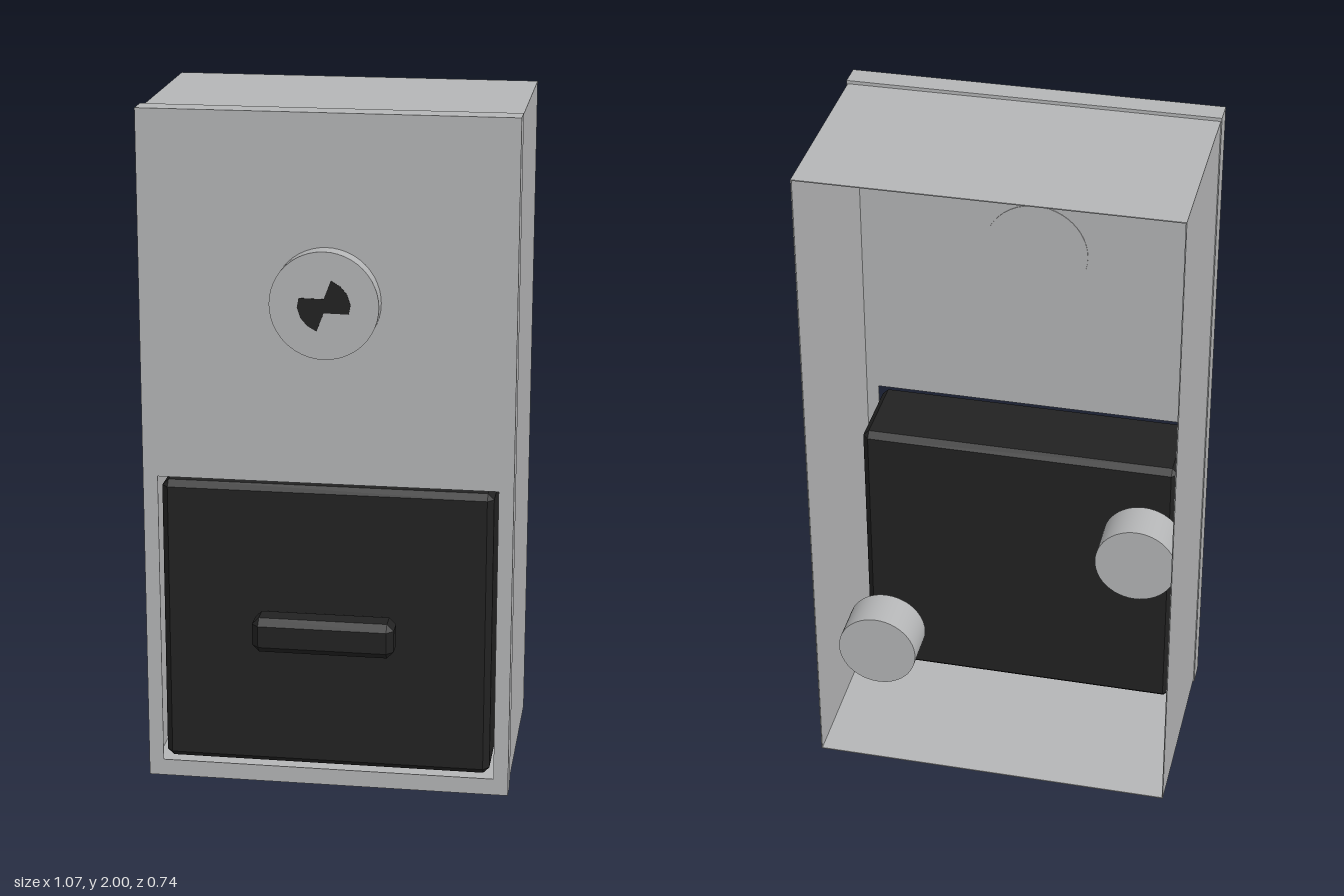
import * as THREE from 'three';
import { ConvexGeometry } from 'three/addons/geometries/ConvexGeometry.js';

const metal = new THREE.MeshStandardMaterial({ color: 0xb5b6b7 });
metal.name = 'grey metal';
metal.side = THREE.DoubleSide;
const black = new THREE.MeshStandardMaterial({ color: 0x222222 });
black.name = 'black plastic';

// Rectangular frame: outer half width and heights, with a rectangular hole, between two depths
function frame(outer, inner, z0, z1) {
  const corners = ([w, y0, y1]) => [[-w, y0], [w, y0], [w, y1], [-w, y1]].map(p => new THREE.Vector2(...p));
  const shape = new THREE.Shape(corners(outer));
  shape.holes.push(new THREE.Path(corners(inner).reverse()));
  return new THREE.ExtrudeGeometry(shape, { depth: z1 - z0, bevelEnabled: false }).translate(0, 0, z0);
}

// Box with every edge chamfered by c
function chamferBox(w, h, d, c) {
  const points = [];
  for (const sx of [-1, 1]) for (const sy of [-1, 1]) for (const sz of [-1, 1]) {
    for (let axis = 0; axis < 3; axis++) {
      const p = [w / 2 - c, h / 2 - c, d / 2 - c];
      p[axis] += c;
      points.push(new THREE.Vector3(p[0] * sx, p[1] * sy, p[2] * sz));
    }
  }
  return new ConvexGeometry(points);
}

// Cylinder lying along z
function disc(radius, z0, z1) {
  return new THREE.CylinderGeometry(radius, radius, z1 - z0, 48)
    .rotateX(Math.PI / 2).translate(0, 0, (z0 + z1) / 2);
}

export function createModel() {
  const model = new THREE.Group();
  const add = (name, geometry, material, x = 0, y = 0, z = 0) => {
    const mesh = new THREE.Mesh(geometry, material);
    mesh.name = name;
    mesh.position.set(x, y, z);
    model.add(mesh);
  };

  // Open-backed sheet housing and the slightly larger hollow front cover
  add('housingWalls', frame([0.53, 0.01, 1.99], [0.527, 0.013, 1.987], -0.37, 0.2), metal);
  add('coverRim', frame([0.533, 0, 2], [0.527, 0.013, 1.987], 0.2, 0.267), metal);
  add('coverFace', frame([0.533, 0, 2], [0.49, 0.05, 0.935], 0.267, 0.27), metal);

  // Deep door block filling the opening, with its pull bar
  add('door', chamferBox(0.955, 0.86, 0.265, 0.018), black, 0, 0.497, 0.152);
  add('doorHandle', chamferBox(0.41, 0.104, 0.094, 0.02), black, 0, 0.498, 0.327);

  // Lock barrel
  add('lockBarrel', disc(0.154, 0.265, 0.322), metal, 0, 1.47);

  // Two-lobed keyhole: one lobe, then the same turned half a circle
  const lobe = [[0.07, -0.021], [0.075, 0.005], [0.065, 0.036], [0.046, 0.058], [0.02, 0.073], [0, 0.02]];
  const outline = [...lobe, ...lobe.map(([x, y]) => [-x, -y])].map(p => new THREE.Vector2(...p));
  add('keyhole', new THREE.ExtrudeGeometry(new THREE.Shape(outline), { depth: 0.003, bevelEnabled: false }),
    black, 0, 1.47, 0.3205);

  // Two round buffers behind opposite corners of the door
  for (const [x, y] of [[-0.395, 0.725], [0.395, 0.27]]) {
    add('rearBuffer', disc(0.12, -0.187, -0.06), metal, x, y);
  }
  return model;
}
